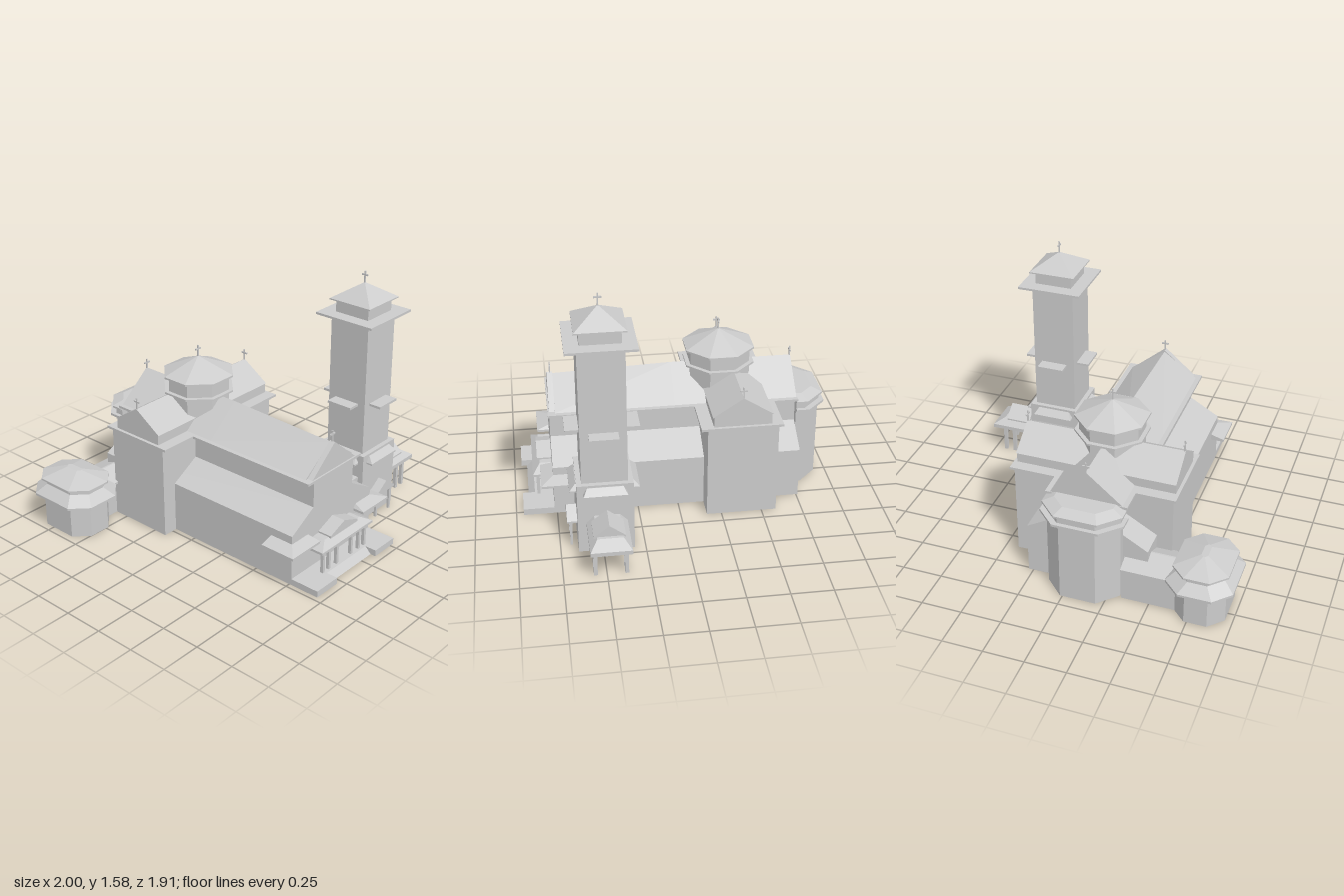
import * as THREE from 'three';

const CX = -0.095; // axis of the nave

export function createModel() {
  const root = new THREE.Group();
  const mat = new THREE.MeshStandardMaterial({ color: 0xcccccc, flatShading: true, side: THREE.DoubleSide });

  // Horizontal rings, listed anticlockwise as seen from above
  const rect = (y, x0, x1, z0, z1) => [[x0, y, z1], [x1, y, z1], [x1, y, z0], [x0, y, z0]];
  const oct = (y, x0, x1, z0, z1, cut, front = cut) => [
    [x0 + front, y, z1], [x1 - front, y, z1], [x1, y, z1 - front], [x1, y, z0 + cut],
    [x1 - cut, y, z0], [x0 + cut, y, z0], [x0, y, z0 + cut], [x0, y, z1 - front]];
  const regular = (y, x, z, r) => oct(y, x - r, x + r, z - r, z + r, r * 0.586);

  // Shell through a stack of rings; walls standing on the ground stay open below
  function loft(name, rings, parent = root) {
    const pos = [];
    const tri = (a, b, c) => pos.push(...a, ...b, ...c);
    const n = rings[0].length;
    for (let k = 0; k < rings.length - 1; k++) {
      const a = rings[k], b = rings[k + 1];
      for (let i = 0; i < n; i++) {
        const j = (i + 1) % n;
        tri(a[i], a[j], b[j]);
        tri(a[i], b[j], b[i]);
      }
    }
    const bot = rings[0], top = rings[rings.length - 1];
    for (let i = 1; i < n - 1; i++) {
      if (bot[0][1] > 0) tri(bot[0], bot[i + 1], bot[i]);
      tri(top[0], top[i], top[i + 1]);
    }
    const g = new THREE.BufferGeometry();
    g.setAttribute('position', new THREE.Float32BufferAttribute(pos, 3));
    g.computeVertexNormals();
    const m = new THREE.Mesh(g, mat);
    m.name = name;
    parent.add(m);
  }
  const box = (name, x0, x1, y0, y1, z0, z1, parent) =>
    loft(name, [rect(y0, x0, x1, z0, z1), rect(y1, x0, x1, z0, z1)], parent);

  // Cross with arms along x, or along z when turned
  function cross(x, y, z, turned) {
    const g = new THREE.Group();
    g.name = 'cross';
    box('crossPost', -0.004, 0.004, 0.001, 0.075, -0.004, 0.004, g);
    box('crossArm', -0.022, 0.022, 0.046, 0.056, -0.004, 0.004, g);
    g.position.set(x, y, z);
    if (turned) g.rotation.y = Math.PI / 2;
    root.add(g);
  }

  // Nave with lower side aisles
  const naveRing = (y, half) => rect(y, CX - half, CX + half, -0.76, 0.765);
  loft('naveAndAisles', [naveRing(0, 0.375), naveRing(0.325, 0.375), naveRing(0.435, 0.185), naveRing(0.61, 0.185)]);
  box('naveCornice', CX - 0.25, CX + 0.25, 0.6, 0.615, -0.765, 0.775);
  loft('naveBackRoof', [rect(0.615, CX - 0.22, CX + 0.22, -0.76, 0), rect(0.8, CX, CX, -0.76, 0)]);
  // Ridge falls slightly towards the front
  loft('naveFrontRoof', [rect(0.615, CX - 0.22, CX + 0.22, 0, 0.73),
    rect(0.8, CX, CX, 0, 0.73).map(([x, y, z]) => [x, y - z * 0.035, z])]);
  loft('frontGable', [rect(0.615, CX - 0.2, CX + 0.2, 0.73, 0.765), rect(0.785, CX, CX, 0.73, 0.765)]);
  cross(CX, 0.778, 0.745, false);
  cross(CX, 0.785, -0.755, false);

  // Transept
  box('transeptWall', -0.565, 0.42, 0, 0.605, -0.59, -0.16);
  box('transeptCornice', -0.585, 0.44, 0.6, 0.615, -0.615, -0.118);
  box('transeptUpperWall', -0.565, 0.42, 0.61, 0.685, -0.545, -0.195);
  loft('transeptRoof', [rect(0.68, -0.567, 0.422, -0.555, -0.187), rect(0.8, -0.567, 0.422, -0.37, -0.37)]);
  cross(-0.56, 0.795, -0.37, true);
  cross(0.417, 0.795, -0.37, true);

  // Crossing dome
  loft('domeDrum', [regular(0.6, CX, -0.3, 0.184), regular(0.92, CX, -0.3, 0.184)]);
  for (const y of [0.803, 0.903])
    loft('domeCornice', [regular(y, CX, -0.3, 0.21), regular(y + 0.012, CX, -0.3, 0.21)]);
  loft('domeRoof', [regular(0.915, CX, -0.3, 0.208), regular(1.015, CX, -0.3, 0)]);
  cross(CX, 1.01, -0.3, false);

  // Apse at the back
  const apse = (y, inset, cut = 0.115) =>
    oct(y, CX - 0.255 + inset, CX + 0.255 - inset, -0.955 + inset, -0.76, cut, 0);
  loft('apseWall', [apse(0, 0.03), apse(0.53, 0.03)]);
  loft('apseCornice', [apse(0.525, 0), apse(0.54, 0)]);
  loft('apseUpperWall', [apse(0.54, 0.025), apse(0.58, 0.025)]);
  loft('apseRoof', [apse(0.58, 0.01), apse(0.592, 0.01), apse(0.62, 0.075, 0.08)]);

  // Sacristy and its passage
  const sac = (y, d) => oct(y, -1 + d, -0.6 - d, -0.945 + d, -0.45 - d, 0.1 - d * 0.3);
  loft('sacristyWall', [sac(0, 0.045), sac(0.22, 0.045)]);
  loft('sacristyLowerRoof', [sac(0.215, 0), sac(0.23, 0), sac(0.285, 0.06)]);
  loft('sacristyUpperWall', [sac(0.28, 0.06), sac(0.32, 0.06)]);
  loft('sacristyUpperRoof', [sac(0.315, 0.035), sac(0.327, 0.035),
    oct(0.38, -0.82, -0.78, -0.755, -0.64, 0.015)]);
  box('passageWall', -0.66, -0.33, 0, 0.22, -0.825, -0.59);
  box('passageEave', -0.66, -0.33, 0.21, 0.225, -0.845, -0.57);
  loft('passageRoof', [rect(0.225, -0.66, -0.33, -0.845, -0.57), rect(0.28, -0.66, -0.33, -0.7, -0.69)]);

  // Front corners: low hipped canopies, platforms and porch posts, mirrored about the nave axis
  for (const s of [-1, 1]) {
    const side = (y, a, b, z0, z1) => rect(y, CX + Math.min(s * a, s * b), CX + Math.max(s * a, s * b), z0, z1);
    loft('cornerCanopy', [side(0.235, 0.21, 0.46, 0.61, 0.84), side(0.25, 0.21, 0.46, 0.61, 0.84),
      side(0.275, 0.23, 0.375, 0.61, 0.765)]);
    loft('sidePlatform', [side(0, 0.19, 0.375, 0.76, 0.955), side(0.04, 0.19, 0.375, 0.76, 0.955)]);
    for (const d of [0.07, 0.145, 0.2])
      box('porchPost', CX + s * d - 0.009, CX + s * d + 0.009, 0.03, 0.19, 0.845, 0.865);
  }

  // Entrance porch
  loft('porchStep', [rect(0, CX - 0.19, CX + 0.19, 0.76, 0.92), rect(0.04, CX - 0.19, CX + 0.19, 0.76, 0.88)]);
  loft('porchRoof', [rect(0.185, CX - 0.243, CX + 0.243, 0.76, 0.885), rect(0.2, CX - 0.243, CX + 0.243, 0.76, 0.885),
    rect(0.24, CX - 0.17, CX + 0.17, 0.76, 0.84)]);
  loft('porchPediment', [rect(0.235, CX - 0.13, CX + 0.13, 0.75, 0.855), rect(0.25, CX - 0.13, CX + 0.13, 0.75, 0.855),
    rect(0.3, CX, CX, 0.75, 0.855)]);

  // Bell tower, stacked squares around its own axis
  const TX = 0.533, TZ = 0.48;
  const sq = (y, r) => rect(y, TX - r, TX + r, TZ - r, TZ + r);
  loft('towerBase', [sq(0, 0.165), sq(0.452, 0.165)]);
  loft('towerShaft', [sq(0.45, 0.135), sq(1.32, 0.135)]);
  loft('towerSlab', [sq(1.313, 0.203), sq(1.327, 0.203)]);
  loft('belfry', [sq(1.325, 0.118), sq(1.41, 0.118)]);
  loft('towerRoof', [sq(1.405, 0.147), sq(1.413, 0.147), sq(1.51, 0)]);
  cross(TX, 1.505, TZ, true);
  for (let k = 0; k < 4; k++) {
    const g = new THREE.Group();
    g.name = 'towerSide';
    box('balcony', -0.085, 0.085, 0.765, 0.78, 0.13, 0.215, g);
    loft('awning', [rect(0.39, -0.128, 0.128, 0.16, 0.205), rect(0.4, -0.128, 0.128, 0.16, 0.205),
      rect(0.438, -0.105, 0.105, 0.16, 0.168)], g);
    g.position.set(TX, 0, TZ);
    g.rotation.y = k * Math.PI / 2;
    root.add(g);
  }
  box('towerLink', 0.27, 0.38, 0, 0.3, 0.345, 0.61);

  // Small porch in front of the tower
  loft('towerDoorRoof', [rect(0.16, 0.455, 0.635, 0.62, 0.705), rect(0.172, 0.455, 0.635, 0.62, 0.705),
    rect(0.235, 0.545, 0.545, 0.62, 0.705)]);
  for (const x of [0.475, 0.615]) box('towerDoorPost', x - 0.008, x + 0.008, 0, 0.165, 0.675, 0.69);

  // Open porch beside the tower
  loft('sidePorchRoof', [rect(0.175, 0.69, 1, 0.355, 0.595), rect(0.2, 0.69, 1, 0.355, 0.595),
    rect(0.245, 0.69, 0.93, 0.4, 0.55)]);
  loft('sidePorchGable', [rect(0.235, 0.75, 0.91, 0.385, 0.57), rect(0.245, 0.75, 0.91, 0.385, 0.57),
    rect(0.315, 0.75, 0.91, 0.478, 0.478)]);
  for (const x of [0.72, 0.86, 0.925])
    for (const z of [0.385, 0.565])
      box('sidePorchPost', x - 0.011, x + 0.011, 0, 0.18, z - 0.011, z + 0.011);

  return root;
}
